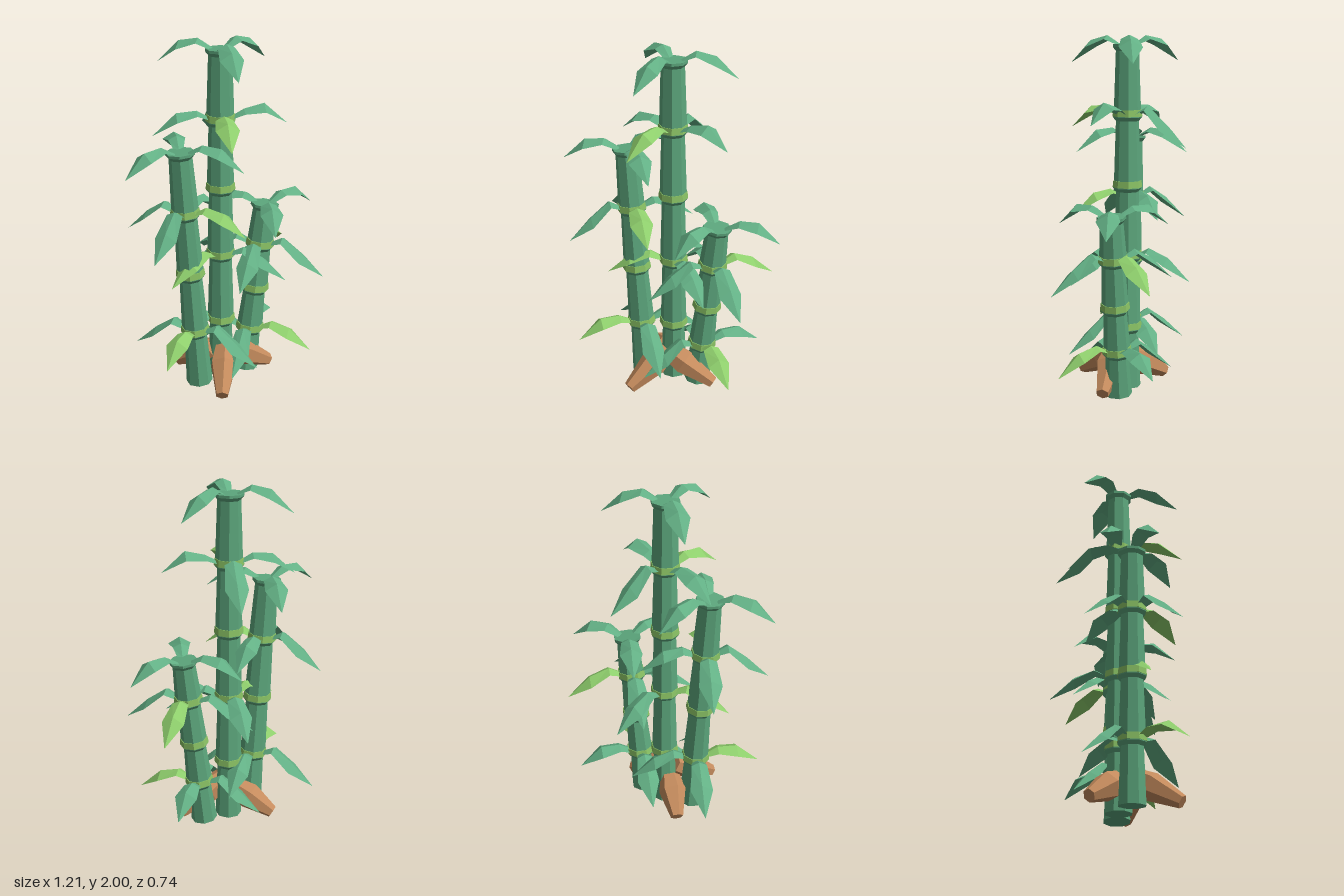
import * as THREE from 'three';

const mat = (name, color, side = THREE.FrontSide) => {
  const m = new THREE.MeshStandardMaterial({ color, flatShading: true, side });
  m.name = name;
  return m;
};
const UP = new THREE.Vector3(0, 1, 0);

export function createModel() {
  const stalkGreen = mat('stalk green', 0x5ca67c);
  const bandLime = mat('band lime', 0x8ac264);
  const rootBrown = mat('root brown', 0xc48b5d);
  const leafGreen = mat('leaf green', 0x63b085, THREE.DoubleSide);
  const leafLime = mat('leaf lime', 0x8ece6c, THREE.DoubleSide);
  const model = new THREE.Group();
  model.name = 'bambooClump';

  const add = (parent, name, geometry, material) => {
    const mesh = new THREE.Mesh(geometry, material);
    mesh.name = name;
    parent.add(mesh);
    return mesh;
  };

  // Turned solid running from p to q; profile is [radius, fraction of length]
  const turned = (parent, name, p, q, profile, sides, material) => {
    const d = q.clone().sub(p);
    const len = d.length();
    const geo = new THREE.LatheGeometry(profile.map(([r, t]) => new THREE.Vector2(r, t * len)), sides);
    geo.rotateY(Math.PI / sides);
    const mesh = add(parent, name, geo, material);
    mesh.position.copy(p);
    mesh.quaternion.setFromUnitVectors(UP, d.normalize());
  };

  // Folded, drooping leaf growing along +x from the stalk axis
  const leafGeometry = (reach, drop) => {
    // distance, height, half width, fold depth
    const rows = [
      [0.04, 0, 0.024, 0.008],
      [0.35 * reach, 0.05, 0.046, 0.022],
      [0.65 * reach, 0.113 - 0.9 * drop, 0.064, 0.038],
      [reach, -drop, 0, 0],
    ].map(([s, h, w, f]) => [-1, 0, 1].map((k) => [s, h - Math.abs(k) * f, k * w]));
    const pos = [];
    for (let i = 0; i < 3; i++) {
      for (let k = 0; k < 2; k++) {
        const [a, b] = rows[i].slice(k);
        const [c, d] = rows[i + 1].slice(k);
        pos.push(...a, ...b, ...c);
        if (i < 2) pos.push(...b, ...d, ...c);
      }
    }
    const geo = new THREE.BufferGeometry();
    geo.setAttribute('position', new THREE.Float32BufferAttribute(pos, 3));
    geo.computeVertexNormals();
    return geo;
  };

  // Evenly spread ring of leaves; lower rings start with a lime leaf
  const whorl = (parent, centre, startDegrees, reach, drops, hasLime) => {
    drops.forEach((drop, i) => {
      const lime = hasLime && i === 0;
      const mesh = add(parent, lime ? 'limeLeaf' : 'leaf', leafGeometry(reach, drop), lime ? leafLime : leafGreen);
      mesh.position.copy(centre);
      mesh.rotation.y = -THREE.MathUtils.degToRad(startDegrees + (i * 360) / drops.length);
    });
  };

  // Stalks with joints at fractions of their length; each whorl is joint, start angle, reach, tip drops
  const stalks = [
    {
      name: 'middleStalk', base: [0, 0.01, 0], top: [-0.005, 1.95, 0], joints: [0, 0.182, 0.395, 0.6, 0.803, 1],
      whorls: [
        [2, 157, 0.38, [0.1, 0.12, 0.13]],
        [4, 103, 0.37, [0.08, 0.08, 0.17, 0.04]],
        [5, 97, 0.35, [0.1, 0.09, 0.1]],
      ],
    },
    {
      name: 'rightStalk', base: [-0.16, 0.01, 0.06], top: [-0.26, 1.43, 0.06], joints: [0, 0.24, 0.493, 0.752, 1],
      whorls: [
        [1, 135, 0.38, [0.07, 0.16, 0.12, 0.17]],
        [3, 47, 0.36, [0.09, 0.165, 0.15, 0.09]],
        [4, 42, 0.36, [0.08, 0.08, 0.08]],
      ],
    },
    {
      name: 'leftStalk', base: [0.155, 0.01, 0], top: [0.27, 1.04, 0], joints: [0, 0.25, 0.5, 0.763, 1],
      whorls: [
        [1, 40, 0.37, [0.1, 0.16, 0.16, 0.07]],
        [3, -49, 0.38, [0.12, 0.16, 0.15, 0.14]],
        [4, 105, 0.35, [0.07, 0.07, 0.07]],
      ],
    },
  ];
  for (const { name, base, top, joints, whorls } of stalks) {
    const group = new THREE.Group();
    group.name = name;
    model.add(group);
    const foot = new THREE.Vector3(...base);
    const crown = new THREE.Vector3(...top);
    const axis = crown.clone().sub(foot).normalize();
    const points = joints.map((t) => foot.clone().lerp(crown, t));
    const count = joints.length - 1;
    for (let i = 0; i < count; i++) {
      const p = points[i], q = points[i + 1];
      // Tapered segment with a flared lip at its top
      const len = p.distanceTo(q);
      turned(group, 'stalkSegment', p, q,
        [[0, 0], [0.076, 0], [0.064, 1 - 0.035 / len], [0.08, 1 - 0.015 / len], [0.08, 1], [0, 1]], 8, stalkGreen);
      // Band around each joint
      if (i > 0) {
        const low = p.clone().addScaledVector(axis, -0.01);
        const high = p.clone().addScaledVector(axis, 0.027);
        turned(group, 'jointBand', low, high, [[0, 0], [0.083, 0], [0.079, 1], [0, 1]], 8, bandLime);
      }
    }
    for (const [i, start, reach, drops] of whorls) whorl(group, points[i], start, reach, drops, i < count);
  }

  // Roots spreading over the ground
  const roots = [
    [[-0.01, 0.2, 0.08], [-0.125, 0.045, 0.32]],
    [[0.01, 0.2, 0.08], [0.285, 0.045, 0.05]],
    [[-0.05, 0.17, -0.01], [-0.215, 0.045, -0.16]],
  ];
  for (const [p, q] of roots) {
    turned(model, 'root', new THREE.Vector3(...p), new THREE.Vector3(...q),
      [[0, 0], [0.06, 0], [0.08, 0.35], [0.037, 1], [0, 1]], 6, rootBrown);
  }
  return model;
}
